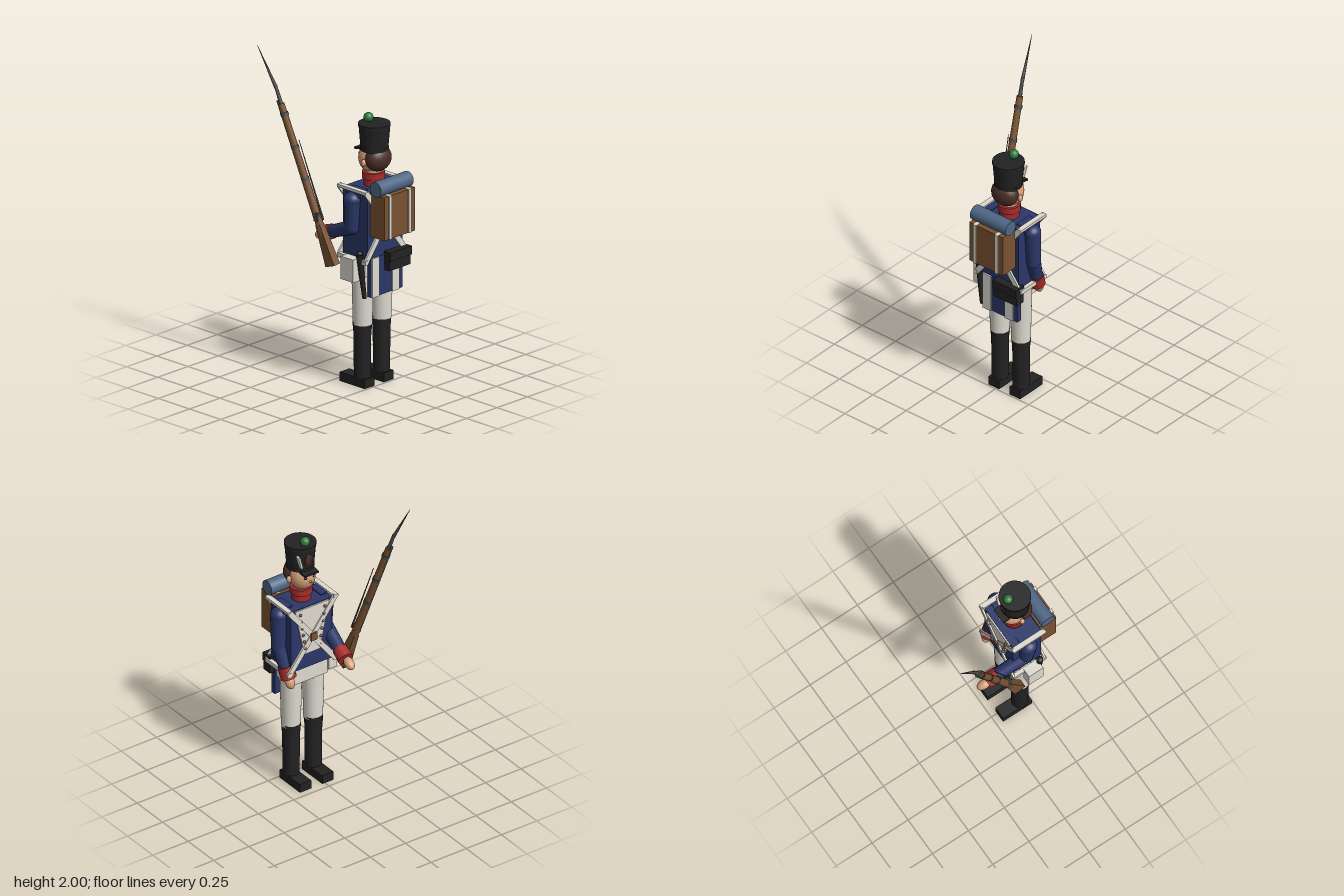
import * as THREE from 'three';

const mat = (name, color) => {
  const m = new THREE.MeshStandardMaterial({ color });
  m.name = name;
  return m;
};

export function createModel() {
  const blue = mat('coatBlue', 0x2b3768), white = mat('cloth', 0xdedad0), black = mat('blackLeather', 0x222222);
  const red = mat('facingRed', 0xa82c2c), skin = mat('skin', 0xd6a27a), brown = mat('woodBrown', 0x7a5232);
  const hairMat = mat('hairBrown', 0x4a2e26), green = mat('pompomGreen', 0x2e7a3a);
  const rollMat = mat('blanketBlue', 0x4f6785), steel = mat('steel', 0x4a4a4a);

  const model = new THREE.Group();
  model.name = 'soldier';
  // The body is symmetrical about this offset axis
  const body = new THREE.Group();
  body.name = 'body';
  body.position.x = 0.058;
  model.add(body);

  const V = (x, y, z) => new THREE.Vector3(x, y, z);
  const add = (name, geo, m, x = 0, y = 0, z = 0, parent = body) => {
    const mesh = new THREE.Mesh(geo, m);
    mesh.name = name;
    mesh.position.set(x, y, z);
    parent.add(mesh);
    return mesh;
  };
  // Box given by its limits on each axis
  const box = (name, m, x0, x1, y0, y1, z0, z1, parent) => add(name,
    new THREE.BoxGeometry(x1 - x0, y1 - y0, z1 - z0), m, (x0 + x1) / 2, (y0 + y1) / 2, (z0 + z1) / 2, parent);
  const ball = (name, m, x, y, z, rx, ry = rx, rz = rx, parent) => {
    const b = add(name, new THREE.SphereGeometry(1, 24, 16), m, x, y, z, parent);
    b.scale.set(rx, ry, rz);
    return b;
  };
  const cyl = (name, m, x, z, y0, y1, r0, r1) =>
    add(name, new THREE.CylinderGeometry(r1, r0, y1 - y0, 28), m, x, (y0 + y1) / 2, z);
  // Tapered rod between two points
  const rod = (name, m, a, b, ra, rb, parent, sides = 20) => {
    const r = add(name, new THREE.CylinderGeometry(rb, ra, a.distanceTo(b), sides), m, 0, 0, 0, parent);
    r.position.copy(a).lerp(b, 0.5);
    r.quaternion.setFromUnitVectors(V(0, 1, 0), b.clone().sub(a).normalize());
    return r;
  };

  // Legs, boots and feet
  for (const s of [-1, 1]) {
    const x = s * 0.079;
    cyl('breechesLeg', white, x, 0.185, 0.38, 0.76, 0.057, 0.066);
    cyl('boot', black, x, 0.183, 0.05, 0.36, 0.049, 0.052);
    cyl('bootCuff', black, x, 0.183, 0.34, 0.395, 0.054, 0.057);
    box('foot', black, x - 0.04, x + 0.04, 0, 0.055, 0.04, 0.24);
  }
  box('hips', white, -0.13, 0.13, 0.69, 0.81, 0.115, 0.255);

  // Coat with tails and turnbacks
  box('coat', blue, -0.145, 0.145, 0.8, 1.215, 0.092, 0.287);
  box('coatTails', blue, -0.115, 0.14, 0.57, 0.81, 0.258, 0.29);
  for (const x of [-0.085, 0.08]) box('tailTurnback', white, x - 0.03, x + 0.03, 0.57, 0.81, 0.29, 0.299);
  const lapel = new THREE.Shape();
  lapel.moveTo(-0.12, 1.21);
  lapel.lineTo(-0.055, 0.9);
  lapel.lineTo(0.055, 0.9);
  lapel.lineTo(0.12, 1.21);
  lapel.closePath();
  add('lapels', new THREE.ExtrudeGeometry(lapel, { depth: 0.009, bevelEnabled: false }), white, 0, 0, 0.083);
  for (const s of [-1, 1]) {
    for (let i = 0; i < 6; i++) {
      ball('button', brown, s * (0.052 + 0.007 * i), 0.94 + 0.048 * i, 0.08, 0.009);
    }
    box('shoulderStrap', blue, s * 0.132 - 0.032, s * 0.132 + 0.032, 1.18, 1.222, 0.14, 0.25);
  }

  // Crossed belts, front and back, joined over shoulders and hips
  const len = Math.hypot(0.33, 0.43);
  for (const s of [-1, 1]) {
    for (const z of [0.081, 0.295]) {
      const belt = add('crossBelt', new THREE.BoxGeometry(0.034, len, 0.012), white, 0, 1.01, z + s * 0.002);
      belt.rotation.z = s * Math.atan2(0.33, 0.43);
    }
    box('shoulderBelt', white, s * 0.162 - 0.016, s * 0.162 + 0.016, 1.215, 1.232, 0.075, 0.303);
    box('hipBelt', white, s * 0.166 - 0.012, s * 0.166 + 0.012, 0.785, 0.812, 0.075, 0.303);
  }
  box('beltPlate', brown, -0.021, 0.021, 0.985, 1.035, 0.064, 0.074);

  // Collar, head and hair
  cyl('neck', skin, 0, 0.195, 1.2, 1.32, 0.05, 0.05);
  cyl('collarBase', red, 0, 0.195, 1.21, 1.26, 0.058, 0.058);
  cyl('collar', red, 0, 0.195, 1.255, 1.297, 0.066, 0.066);
  ball('head', skin, 0, 1.375, 0.183, 0.078, 0.088, 0.08);
  ball('hair', hairMat, 0, 1.385, 0.235, 0.088, 0.078, 0.065);
  const nose = add('nose', new THREE.ConeGeometry(0.014, 0.035, 12), skin, 0, 1.367, 0.1);
  nose.rotation.x = -Math.PI / 2;
  for (const s of [-1, 1]) {
    ball('ear', skin, s * 0.084, 1.365, 0.197, 0.015, 0.022, 0.015);
    ball('eye', black, s * 0.028, 1.392, 0.112, 0.008);
  }

  // Tall cap with visor, plate, strip and pompom
  cyl('cap', black, 0, 0.203, 1.435, 1.58, 0.08, 0.092);
  cyl('capRim', black, 0, 0.203, 1.575, 1.592, 0.094, 0.094);
  cyl('capBand', black, 0, 0.203, 1.43, 1.45, 0.083, 0.083);
  const visor = box('visor', black, -0.05, 0.05, 1.422, 1.434, 0.088, 0.16);
  visor.rotation.x = -0.15;
  const plate = ball('capPlate', hairMat, 0, 1.505, 0.119, 0.025, 0.037, 0.008);
  plate.rotation.x = -0.08;
  const strip = box('capStrip', white, 0.05, 0.062, 1.46, 1.545, 0.117, 0.145);
  strip.rotation.z = -0.25;
  ball('pompom', green, 0, 1.614, 0.155, 0.029);

  // Arms: shoulder, elbow, wrist, hand
  const arm = (side, shoulder, elbow, wrist, hand) => {
    const g = new THREE.Group();
    g.name = side + 'Arm';
    body.add(g);
    ball('shoulder', blue, ...shoulder, 0.05, 0.045, 0.052, g);
    rod('upperArm', blue, V(...shoulder), V(...elbow), 0.05, 0.043, g);
    ball('elbow', blue, ...elbow, 0.043, 0.043, 0.043, g);
    const a = V(...elbow), b = V(...wrist), dir = b.clone().sub(a).normalize();
    rod('forearm', blue, a, b, 0.043, 0.037, g);
    rod('cuff', red, b.clone().addScaledVector(dir, -0.03), b.clone().addScaledVector(dir, 0.045), 0.044, 0.047, g);
    const h = ball('hand', skin, ...hand, 0.029, 0.046, 0.029, g);
    h.quaternion.setFromUnitVectors(V(0, 1, 0), dir);
  };
  arm('left', [0.165, 1.16, 0.185], [0.17, 0.95, 0.18], [0.15, 0.8, 0.13], [0.145, 0.735, 0.105]);
  arm('right', [-0.165, 1.16, 0.185], [-0.155, 0.985, 0.175], [-0.13, 0.898, -0.03], [-0.128, 0.866, -0.1]);

  // Pack with straps and blanket roll
  box('pack', brown, -0.125, 0.127, 0.95, 1.215, 0.29, 0.404);
  for (const x of [-0.08, 0.083]) box('packStrap', white, x - 0.011, x + 0.011, 0.95, 1.217, 0.3, 0.411);
  const roll = add('blanketRoll', new THREE.CylinderGeometry(0.046, 0.046, 0.268, 28), rollMat, 0, 1.25, 0.342);
  roll.rotation.z = Math.PI / 2;

  // Hip gear: cartridge box, haversack and scabbard
  box('cartridgeBox', black, -0.005, 0.168, 0.715, 0.815, 0.268, 0.33);
  box('cartridgeFlap', black, -0.007, 0.17, 0.775, 0.828, 0.266, 0.337);
  box('haversack', white, -0.223, -0.165, 0.68, 0.82, 0.15, 0.25);
  rod('scabbard', black, V(-0.178, 0.84, 0.255), V(-0.145, 0.57, 0.265), 0.02, 0.013);
  ball('hilt', black, -0.178, 0.85, 0.255, 0.02, 0.015, 0.02);

  // Musket, sloping forward and outward along one line
  const musket = new THREE.Group();
  musket.name = 'musket';
  model.add(musket);
  const at = (y) => V(-0.157 - 0.091 * (y - 0.75), y, 0.075 - 0.358 * (y - 0.75));
  rod('forestock', brown, at(0.92), at(1.67), 0.024, 0.019, musket);
  const butt = new THREE.BoxGeometry(0.05, 0.25, 0.075);
  const p = butt.attributes.position;
  for (let i = 0; i < p.count; i++) {
    if (p.getY(i) > 0) p.setXYZ(i, p.getX(i) * 0.75, p.getY(i), p.getZ(i) * 0.5);
  }
  butt.computeVertexNormals();
  const stock = add('butt', butt, brown, 0, 0, 0, musket);
  stock.position.copy(at(0.86));
  stock.quaternion.setFromUnitVectors(V(0, 1, 0), at(2).sub(at(1)).normalize());
  for (const y of [1.24, 1.42, 1.61]) rod('barrelBand', steel, at(y - 0.01), at(y + 0.01), 0.024, 0.024, musket);
  const barrelTop = V(-0.006, 0.006, -0.016);
  rod('barrel', steel, at(1.0).add(barrelTop), at(1.68).add(barrelTop), 0.012, 0.009, musket);
  rod('muzzle', steel, at(1.66), at(1.78), 0.012, 0.009, musket);
  rod('bayonet', steel, at(1.76), V(-0.28, 2, -0.408), 0.011, 0.001, musket, 8);
  rod('thinRod', steel, V(-0.175, 1.01, 0.02), V(-0.222, 1.475, -0.13), 0.006, 0.002, musket, 8);
  box('lock', steel, -0.205, -0.165, 1.0, 1.05, -0.03, 0.0, musket);
  return model;
}
